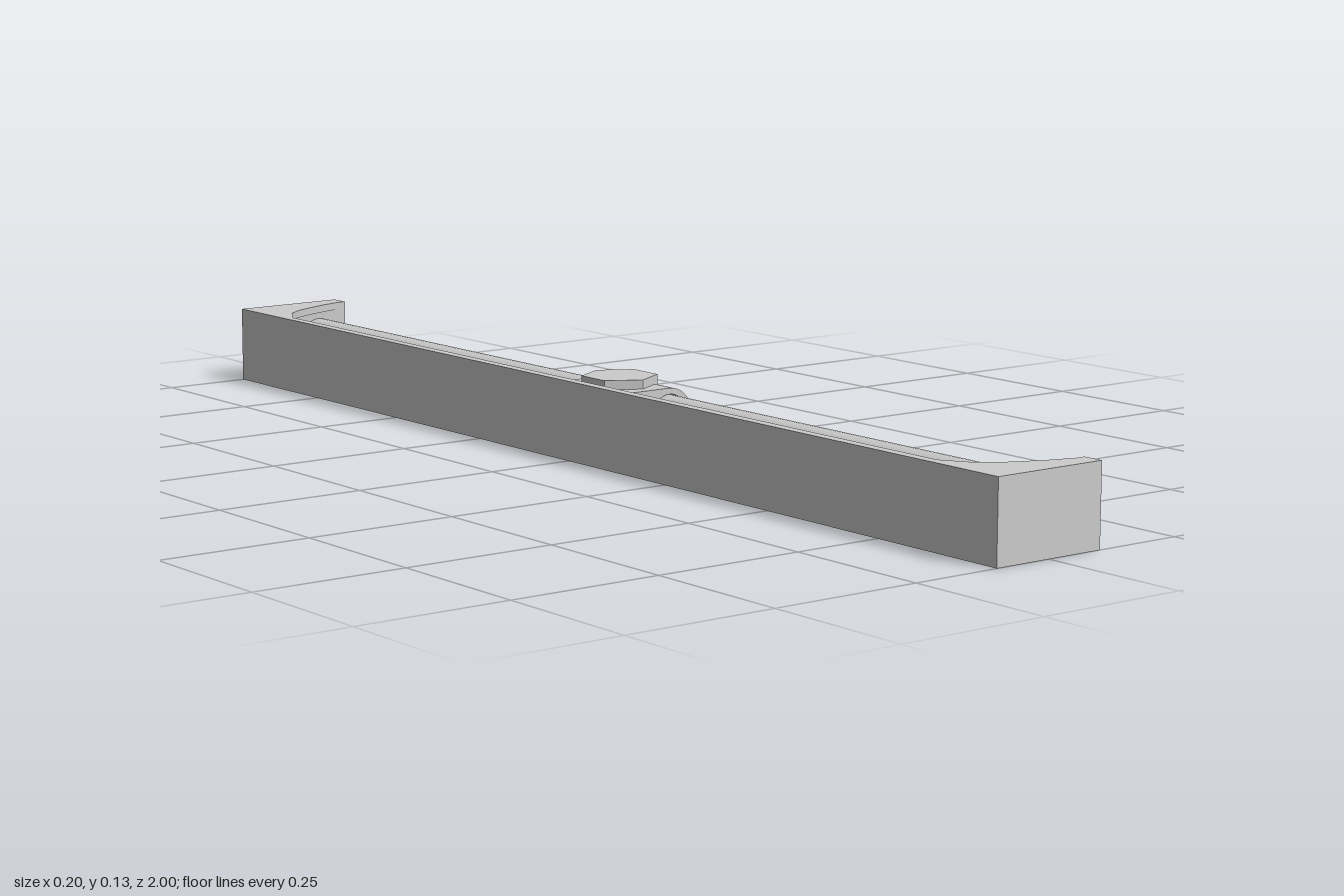
import * as THREE from 'three';

const mat = new THREE.MeshStandardMaterial({ color: 0xcccccc, side: THREE.DoubleSide });

function add(parent, geometry, name, x, y, z) {
  const mesh = new THREE.Mesh(geometry, mat);
  mesh.name = name;
  mesh.position.set(x, y, z);
  parent.add(mesh);
  return mesh;
}

// End bracket: solid end plate with a thin curved gusset at top and bottom
function makeBracket(side) {
  const bracket = new THREE.Group();
  bracket.name = side > 0 ? 'frontBracket' : 'backBracket';
  add(bracket, new THREE.BoxGeometry(0.2, 0.13, 0.035), 'endPlate', 0, 0.065, side * 0.9825);

  const inner = [[-0.083, 0.855], [-0.055, 0.9], [-0.03, 0.92], [0, 0.935], [0.045, 0.953], [0.085, 0.965]];
  const points = [[-0.083, 0.965], ...inner].map(([x, z]) => new THREE.Vector2(x, -side * z));
  const gusset = new THREE.ExtrudeGeometry(new THREE.Shape(points), { depth: 0.013, bevelEnabled: false });
  gusset.rotateX(-Math.PI / 2);
  add(bracket, gusset, 'lowerGusset', 0, 0, 0);
  add(bracket, gusset, 'upperGusset', 0, 0.117, 0);
  return bracket;
}

function addRod(parent, name, radius, x) {
  const rod = new THREE.CylinderGeometry(radius, radius, 1.93, 32);
  rod.rotateX(Math.PI / 2);
  add(parent, rod, name, x, 0.068, 0);
}

export function createModel() {
  const model = new THREE.Group();
  model.name = 'linearSlider';

  // Frame: long side wall and two end brackets
  add(model, new THREE.BoxGeometry(0.017, 0.13, 1.93), 'sideWall', -0.0915, 0.065, 0);
  model.add(makeBracket(1), makeBracket(-1));

  // Guide rods
  addRod(model, 'mainRod', 0.036, 0.043);
  addRod(model, 'thinRod', 0.02, -0.036);

  // Carriage: rounded sleeve around both rods
  const carriage = new THREE.Group();
  carriage.name = 'carriage';
  const outline = new THREE.Shape();
  outline.absarc(0.043, 0, 0.046, -Math.PI / 2, Math.PI / 2, false);
  outline.absarc(-0.036, 0, 0.046, Math.PI / 2, Math.PI * 1.5, false);
  for (const [x, r] of [[0.043, 0.036], [-0.036, 0.02]]) {
    outline.holes.push(new THREE.Path().absarc(x, 0, r, 0, Math.PI * 2, true));
  }
  const sleeve = new THREE.ExtrudeGeometry(outline, { depth: 0.16, bevelEnabled: false, curveSegments: 20 });
  add(carriage, sleeve, 'sleeve', 0, 0.069, -0.08);

  // Hexagonal cap on the carriage
  const cap = new THREE.CylinderGeometry(0.062, 0.062, 0.018, 6).toNonIndexed();
  cap.computeVertexNormals();
  add(carriage, cap, 'hexCap', 0.003, 0.121, 0);
  model.add(carriage);

  return model;
}
